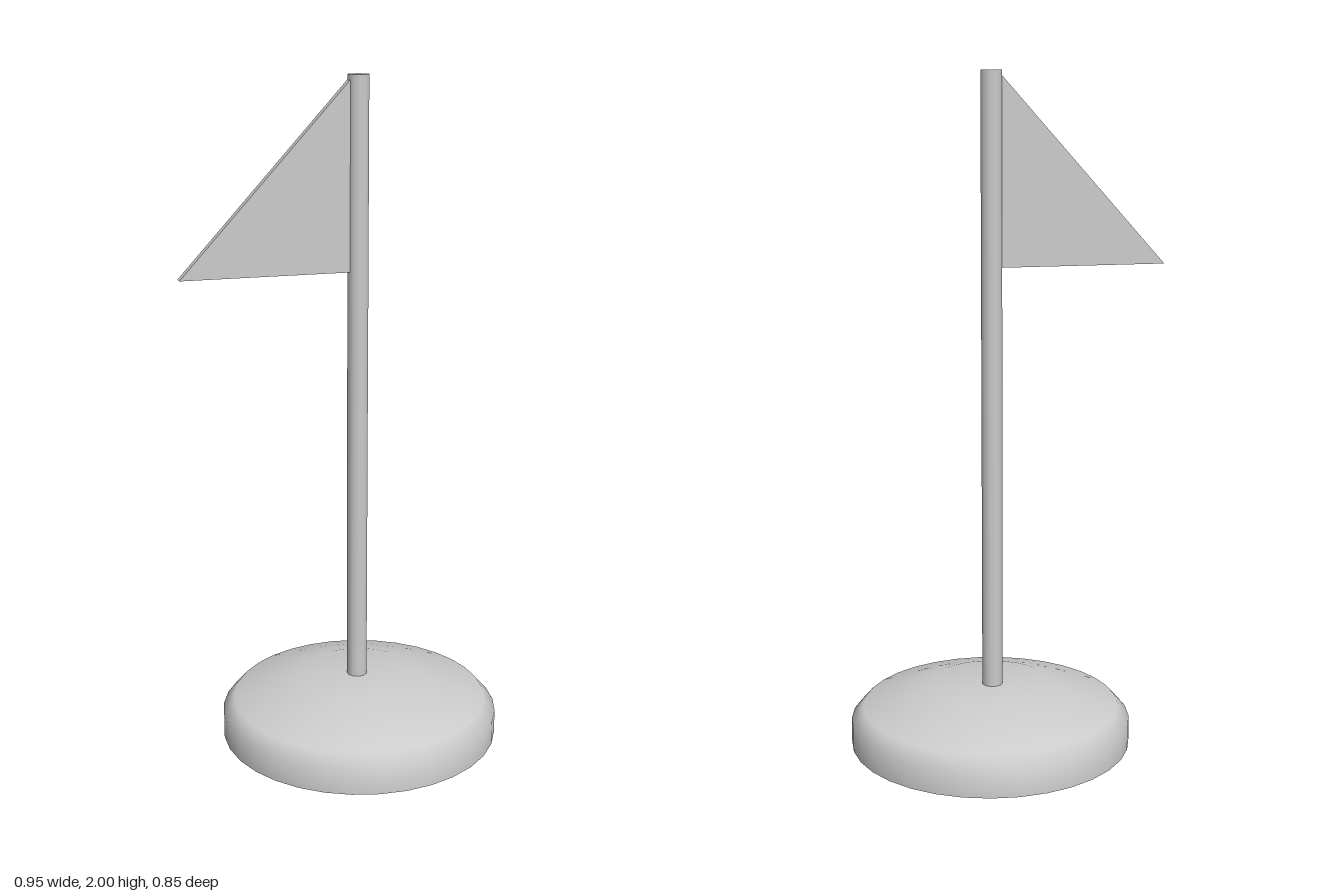
import * as THREE from 'three';

const material = new THREE.MeshStandardMaterial({ color: 0xcccccc });

function addPart(group, name, geometry, x, y, z) {
  const mesh = new THREE.Mesh(geometry, material);
  mesh.name = name;
  mesh.position.set(x, y, z);
  group.add(mesh);
}

export function createModel() {
  const group = new THREE.Group();
  group.name = 'flagOnStand';

  // Domed round foot, smooth over the top, with its widest corner on +x
  const profile = [
    [0.423, 0], [0.423, 0.075], [0.388, 0.115], [0.182, 0.18], [0, 0.18],
  ].map(([r, y]) => new THREE.Vector2(r, y));
  addPart(group, 'base', new THREE.LatheGeometry(profile, 33, Math.PI / 2), 0.052, 0, 0);

  // Flat underside of the foot
  const underside = new THREE.CircleGeometry(0.423, 33);
  underside.rotateX(Math.PI / 2);
  addPart(group, 'baseUnderside', underside, 0.052, 0, 0);

  // Slim pole
  const pole = new THREE.CylinderGeometry(0.031, 0.031, 1.83, 11, 1, false, Math.PI / 2);
  addPart(group, 'pole', pole, 0.048, 1.085, -0.009);

  // Triangular pennant, thin slab pointing to -x
  const pennant = new THREE.Shape([
    new THREE.Vector2(0.02, 1.445),
    new THREE.Vector2(0.02, 1.985),
    new THREE.Vector2(-0.475, 1.445),
  ]);
  const flag = new THREE.ExtrudeGeometry(pennant, { depth: 0.029, bevelEnabled: false });
  addPart(group, 'flag', flag, 0, 0, -0.024);

  return group;
}
